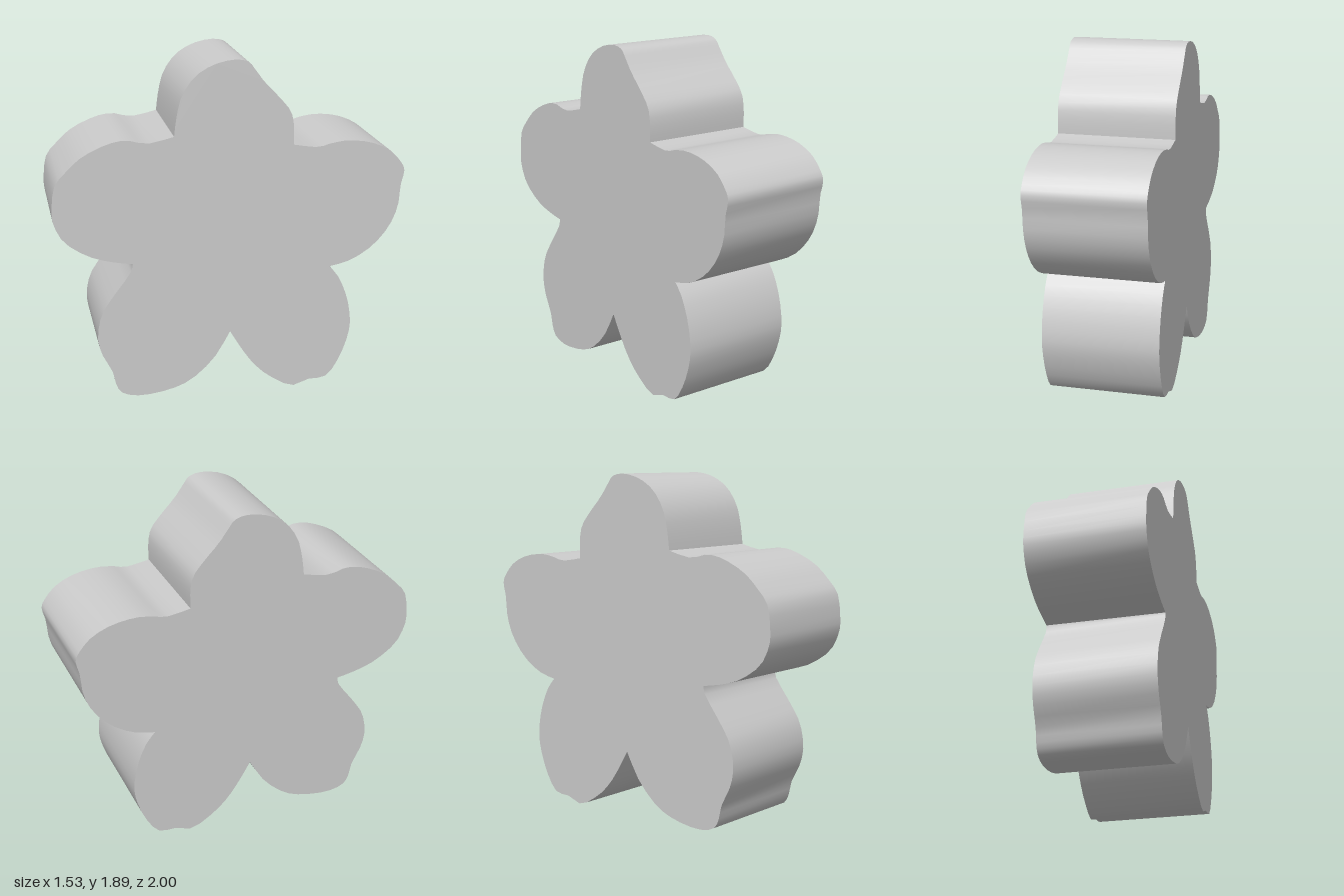
import * as THREE from 'three';
import { toCreasedNormals } from 'three/addons/utils/BufferGeometryUtils.js';

const THICKNESS = 0.645;

// Each petal runs from the previous valley to its own last point (the next valley).
const START = [0.337, 1.42];
const PETALS = [
  // top
  [[0.337, 1.51], [0.32, 1.6], [0.257, 1.68], [0.176, 1.765], [0.12, 1.84], [0.084, 1.88], [0.01, 1.893],
    [-0.1, 1.87], [-0.2, 1.81], [-0.27, 1.71], [-0.3, 1.595], [-0.313, 1.495]],
  // upper left
  [[-0.455, 1.465], [-0.567, 1.487], [-0.67, 1.47], [-0.8, 1.41], [-0.89, 1.33], [-0.95, 1.255], [-0.968, 1.135],
    [-0.962, 1.05], [-0.907, 0.945], [-0.783, 0.86], [-0.66, 0.82], [-0.548, 0.8]],
  // lower left
  [[-0.56, 0.75], [-0.653, 0.625], [-0.72, 0.52], [-0.746, 0.395], [-0.727, 0.29], [-0.672, 0.18], [-0.653, 0.1],
    [-0.616, 0.043], [-0.51, 0.02], [-0.35, 0.043], [-0.226, 0.096], [-0.1, 0.214], [-0.01, 0.365]],
  // lower right
  [[0.04, 0.28], [0.115, 0.17], [0.207, 0.08], [0.343, 0.003], [0.443, 0.032], [0.548, 0.043], [0.622, 0.144],
    [0.672, 0.278], [0.684, 0.385], [0.66, 0.52], [0.61, 0.64], [0.554, 0.71]],
  // upper right
  [[0.672, 0.738], [0.796, 0.813], [0.889, 0.92], [0.938, 1.037], [0.95, 1.16], [0.968, 1.24], [0.944, 1.294],
    [0.876, 1.364], [0.765, 1.412], [0.641, 1.428], [0.548, 1.417], [0.467, 1.4], START],
];

export function createModel() {
  const group = new THREE.Group();
  group.name = 'flowerBlock';

  // Smooth petals joined at sharp valleys
  const outline = new THREE.Shape();
  outline.moveTo(...START);
  for (const petal of PETALS) outline.splineThru(petal.map(([x, y]) => new THREE.Vector2(x, y)));

  // Thick slab with flat faces and smoothly shaded sides
  const slab = new THREE.ExtrudeGeometry(outline, { depth: THICKNESS, bevelEnabled: false, curveSegments: 2 });
  slab.translate(0, 0, -THICKNESS / 2);

  const flower = new THREE.Mesh(
    toCreasedNormals(slab, THREE.MathUtils.degToRad(35)),
    new THREE.MeshStandardMaterial({ color: 0xcccccc })
  );
  flower.name = 'flower';
  flower.rotation.y = Math.PI / 3;
  group.add(flower);
  return group;
}
